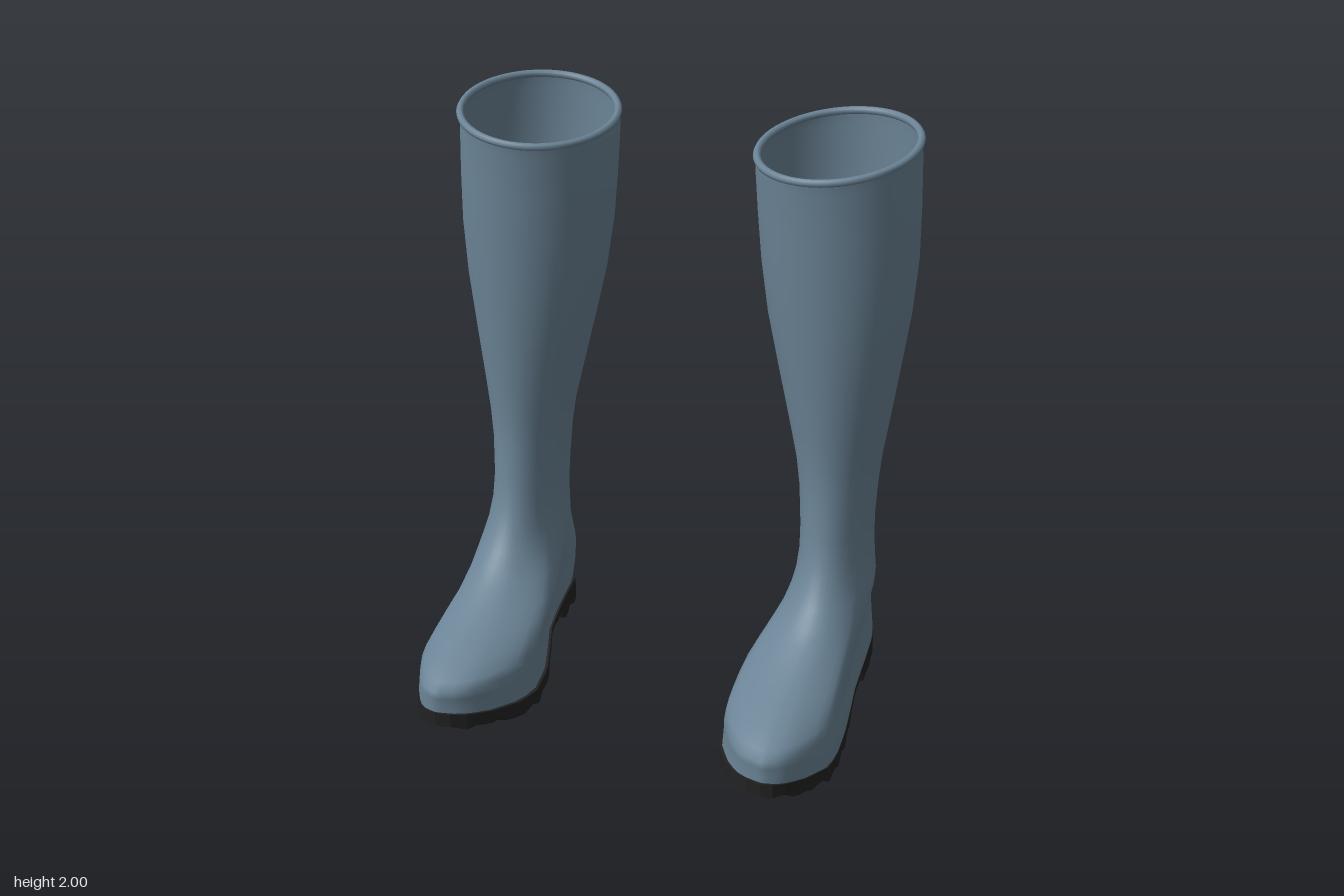
import * as THREE from 'three';

const SEG = 48;
const upperMat = new THREE.MeshStandardMaterial({ color: 0x6b8496, side: THREE.DoubleSide });
upperMat.name = 'blue grey rubber';
const soleMat = new THREE.MeshStandardMaterial({ color: 0x222222, side: THREE.DoubleSide });
soleMat.name = 'black sole';

// Horizontal sections of the upper: y, back z, front z, inner x, outer x
const SECTIONS = [
  [1.955, -0.557, 0.005, 0.257, 0.765], [1.91, -0.56, -0.003, 0.25, 0.772],
  [1.75, -0.557, -0.012, 0.26, 0.777], [1.58, -0.55, -0.022, 0.274, 0.778],
  [1.4, -0.53, -0.035, 0.3, 0.765], [1.2, -0.503, -0.052, 0.345, 0.738],
  [1.0, -0.472, -0.072, 0.392, 0.71], [0.9, -0.458, -0.079, 0.415, 0.695],
  [0.8, -0.452, -0.08, 0.43, 0.685], [0.66, -0.45, -0.067, 0.442, 0.678],
  [0.57, -0.452, -0.045, 0.446, 0.68], [0.5, -0.456, -0.01, 0.443, 0.688],
  [0.445, -0.463, 0.03, 0.433, 0.698], [0.4, -0.47, 0.082, 0.42, 0.702],
  [0.36, -0.48, 0.14, 0.403, 0.702], [0.31, -0.49, 0.25, 0.38, 0.702],
  [0.275, -0.497, 0.36, 0.365, 0.707], [0.24, -0.5, 0.46, 0.358, 0.712],
  [0.21, -0.5, 0.53, 0.354, 0.718], [0.185, -0.498, 0.562, 0.352, 0.722],
  [0.15, -0.49, 0.557, 0.35, 0.728], [0.115, -0.48, 0.556, 0.347, 0.733],
  [0.08, -0.465, 0.555, 0.345, 0.733],
];
// Foot outline (z: x) and sole heights (z: y)
const INNER = [[-0.48, 0.56], [-0.47, 0.505], [-0.4, 0.465], [-0.25, 0.45], [-0.1, 0.43], [0, 0.395],
  [0.1, 0.36], [0.25, 0.335], [0.35, 0.355], [0.45, 0.41], [0.52, 0.465], [0.555, 0.52], [0.565, 0.57]];
const OUTER = [[-0.48, 0.56], [-0.47, 0.615], [-0.4, 0.665], [-0.25, 0.68], [-0.1, 0.69], [0, 0.705],
  [0.1, 0.72], [0.25, 0.735], [0.35, 0.733], [0.45, 0.69], [0.52, 0.648], [0.555, 0.61], [0.565, 0.57]];
const SOLE_TOP = [[-0.48, 0.14], [-0.42, 0.132], [-0.2, 0.11], [0, 0.077], [0.15, 0.062], [0.3, 0.065],
  [0.45, 0.082], [0.565, 0.105]];
const SOLE_BOTTOM = [[-0.48, 0.08], [-0.44, 0.055], [-0.3, 0.045], [-0.232, 0.05], [-0.215, 0.095],
  [-0.1, 0.075], [0, 0.042], [0.1, 0.018], [0.25, 0.013], [0.35, 0.02], [0.5, 0.045], [0.565, 0.06]];

// Straight-line lookup in a small table
function lookup(table, v) {
  if (v <= table[0][0]) return table[0][1];
  for (let i = 1; i < table.length; i++) {
    const [a, p] = table[i - 1], [b, q] = table[i];
    if (v <= b) return p + (q - p) * (v - a) / (b - a);
  }
  return table[table.length - 1][1];
}

// Skin over closed rings of points; side = -1 mirrors in x
function loft(rings, side) {
  const n = rings[0].length, pos = [], index = [];
  for (const ring of rings) for (const [x, y, z] of ring) pos.push(x * side, y, z);
  for (let r = 0; r < rings.length - 1; r++) {
    for (let i = 0; i < n; i++) {
      const j = (i + 1) % n;
      const a = r * n + i, b = r * n + j, c = a + n, d = b + n;
      if (side > 0) index.push(a, c, b, b, c, d);
      else index.push(a, b, c, b, d, c);
    }
  }
  const geo = new THREE.BufferGeometry();
  geo.setAttribute('position', new THREE.Float32BufferAttribute(pos, 3));
  geo.setIndex(index);
  geo.computeVertexNormals();
  return geo;
}

// One ring of the upper: an oval at the shaft, turning into the foot outline
function upperRing([y, zb, zf, xi, xo]) {
  const foot = 1 - THREE.MathUtils.smoothstep(y, 0.22, 0.5);
  const slant = THREE.MathUtils.clamp((y - 1.5) / 0.455, 0, 1);
  const drop = THREE.MathUtils.clamp((0.2 - y) / 0.12, 0, 1);
  const ring = [];
  for (let i = 0; i < SEG; i++) {
    const t = i / SEG * Math.PI * 2, c = Math.cos(t), s = Math.sin(t);
    const z = (zb + zf) / 2 + c * (zf - zb) / 2;
    const oval = (xi + xo) / 2 + s * (xo - xi) / 2;
    const fz = -0.48 + (c + 1) / 2 * 1.045;
    const outline = xi + (lookup(s > 0 ? OUTER : INNER, fz) - 0.335) / 0.4 * (xo - xi);
    ring.push([
      THREE.MathUtils.lerp(oval, outline, foot),
      y + slant * (0.02 * s - 0.03 * c) + drop * (lookup(SOLE_TOP, z) - 0.08),
      z,
    ]);
  }
  return ring;
}

// One slice across the sole, with an uneven tread underneath
function soleSlice(z, across = 8) {
  const xi = lookup(INNER, z), xo = lookup(OUTER, z);
  const top = lookup(SOLE_TOP, z) + 0.004, bottom = lookup(SOLE_BOTTOM, z);
  const ring = [];
  for (let i = 0; i <= across; i++) ring.push([xi + (xo - xi) * i / across, top, z]);
  for (let i = across; i >= 0; i--) {
    const x = xi + (xo - xi) * i / across;
    const tread = 0.012 * Math.sin(z * 62) * Math.cos(x * 48);
    ring.push([x, Math.max(0, Math.min(top - 0.01, bottom + tread)), z]);
  }
  return ring;
}

function makeBoot(side) {
  const boot = new THREE.Group();
  boot.name = side > 0 ? 'leftBoot' : 'rightBoot';
  const add = (name, geo, mat) => {
    const mesh = new THREE.Mesh(geo, mat);
    mesh.name = name;
    boot.add(mesh);
  };

  // Shaft and foot in one skin, open at the top
  const rings = SECTIONS.map(upperRing);
  add('upper', loft(rings, side), upperMat);

  // Rolled rim
  const path = rings[0].filter((p, i) => i % 2 === 0).map(([x, y, z]) => new THREE.Vector3(x * side, y, z));
  const curve = new THREE.CatmullRomCurve3(path, true);
  add('rim', new THREE.TubeGeometry(curve, 64, 0.013, 8, true), upperMat);

  // Sole and heel block
  const zs = [-0.48, -0.475, -0.47, -0.232, -0.215, 0.555, 0.56, 0.565];
  for (let z = -0.45; z < 0.55; z += 0.025) zs.push(z);
  zs.sort((a, b) => a - b);
  const sole = loft(zs.map(z => soleSlice(z)), side).toNonIndexed();
  sole.computeVertexNormals();
  add('sole', sole, soleMat);
  return boot;
}

export function createModel() {
  const model = new THREE.Group();
  model.name = 'boots';
  for (const side of [1, -1]) model.add(makeBoot(side));
  return model;
}
